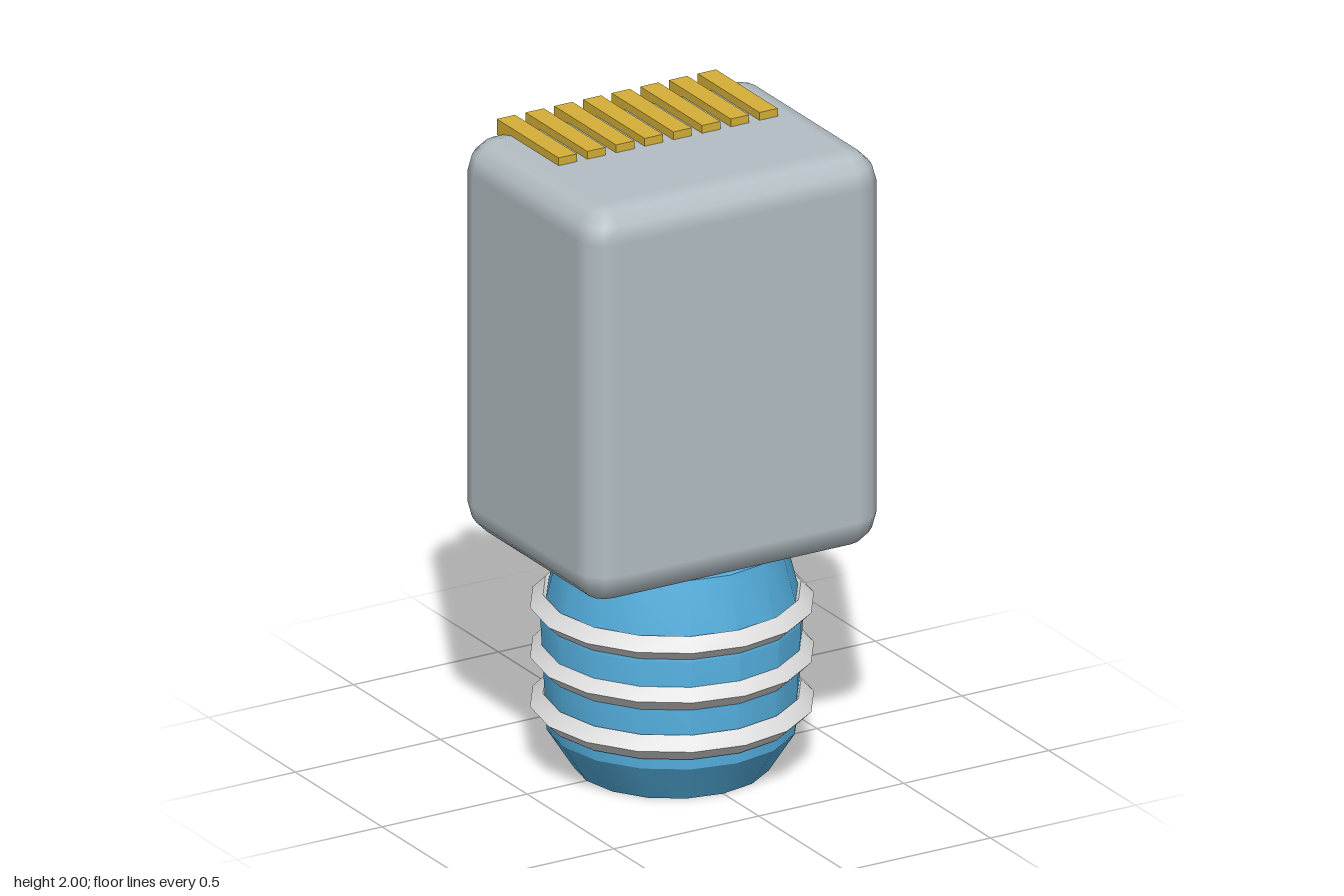
import * as THREE from 'three';
import { toCreasedNormals } from 'three/addons/utils/BufferGeometryUtils.js';

const material = (name, color) => {
  const m = new THREE.MeshStandardMaterial({ color });
  m.name = name;
  return m;
};

// Box with rounded edges: a coarse sphere whose octants are pushed apart
function bevelledBox(hx, hy, hz, r, steps) {
  const pos = [], nor = [], idx = [];
  const angle = (i) => (i / steps) * Math.PI / 2;
  const ring = 4 * (steps + 1);
  const rows = 2 * (steps + 1);
  for (let row = 0; row < rows; row++) {
    const top = row > steps;
    const e = top ? angle(row - steps - 1) : angle(row) - Math.PI / 2;
    for (let q = 0; q < 4; q++) {
      const sx = q === 0 || q === 3 ? 1 : -1;
      const sz = q < 2 ? 1 : -1;
      for (let i = 0; i <= steps; i++) {
        const a = q * Math.PI / 2 + angle(i);
        const n = [Math.cos(e) * Math.cos(a), Math.sin(e), Math.cos(e) * Math.sin(a)];
        nor.push(...n);
        pos.push(sx * (hx - r) + r * n[0], (top ? 1 : -1) * (hy - r) + r * n[1], sz * (hz - r) + r * n[2]);
      }
    }
  }
  for (let row = 0; row < rows - 1; row++) {
    for (let i = 0; i < ring; i++) {
      const a = row * ring + i, b = row * ring + (i + 1) % ring;
      idx.push(a, a + ring, b, b, a + ring, b + ring);
    }
  }
  // Bottom and top panels
  const last = (rows - 1) * ring;
  for (let i = 1; i < ring - 1; i++) {
    idx.push(0, i, i + 1, last, last + i + 1, last + i);
  }
  const g = new THREE.BufferGeometry();
  g.setAttribute('position', new THREE.Float32BufferAttribute(pos, 3));
  g.setAttribute('normal', new THREE.Float32BufferAttribute(nor, 3));
  g.setIndex(idx);
  return g;
}

export function createModel() {
  const grey = material('casing grey', 0xb3bec4);
  const blue = material('plug blue', 0x55b0e0);
  const silver = material('ring silver', 0xdddddd);
  const gold = material('contact gold', 0xd4af37);

  const model = new THREE.Group();
  model.name = 'connector';
  const add = (name, geometry, mat, x = 0, y = 0, z = 0) => {
    const mesh = new THREE.Mesh(geometry, mat);
    mesh.name = name;
    mesh.position.set(x, y, z);
    model.add(mesh);
  };

  // Casing
  add('casing', bevelledBox(0.512, 0.63, 0.395, 0.1, 3), grey, 0, 1.345, 0);

  // Tapered plug
  const profile = [[0, 0], [0.295, 0], [0.375, 0.125], [0.394, 0.475], [0.335, 0.712], [0, 0.712]];
  const plug = new THREE.LatheGeometry(profile.map(([r, y]) => new THREE.Vector2(r, y)), 16);
  add('plug', toCreasedNormals(plug, 0.45), blue);

  // Sealing rings with a diamond section
  const ring = toCreasedNormals(new THREE.TorusGeometry(0.386, 0.039, 4, 16).rotateX(Math.PI / 2), 0.6);
  [0.2, 0.358, 0.516].forEach((y, i) => add(`ring${i + 1}`, ring, silver, 0, y, 0));

  // Row of contacts on top, toward the back
  const contact = new THREE.BoxGeometry(0.063, 0.05, 0.356);
  for (let i = 0; i < 8; i++) {
    add(`contact${i + 1}`, contact, gold, (i - 3.5) * 0.099, 1.975, -0.2);
  }
  return model;
}
